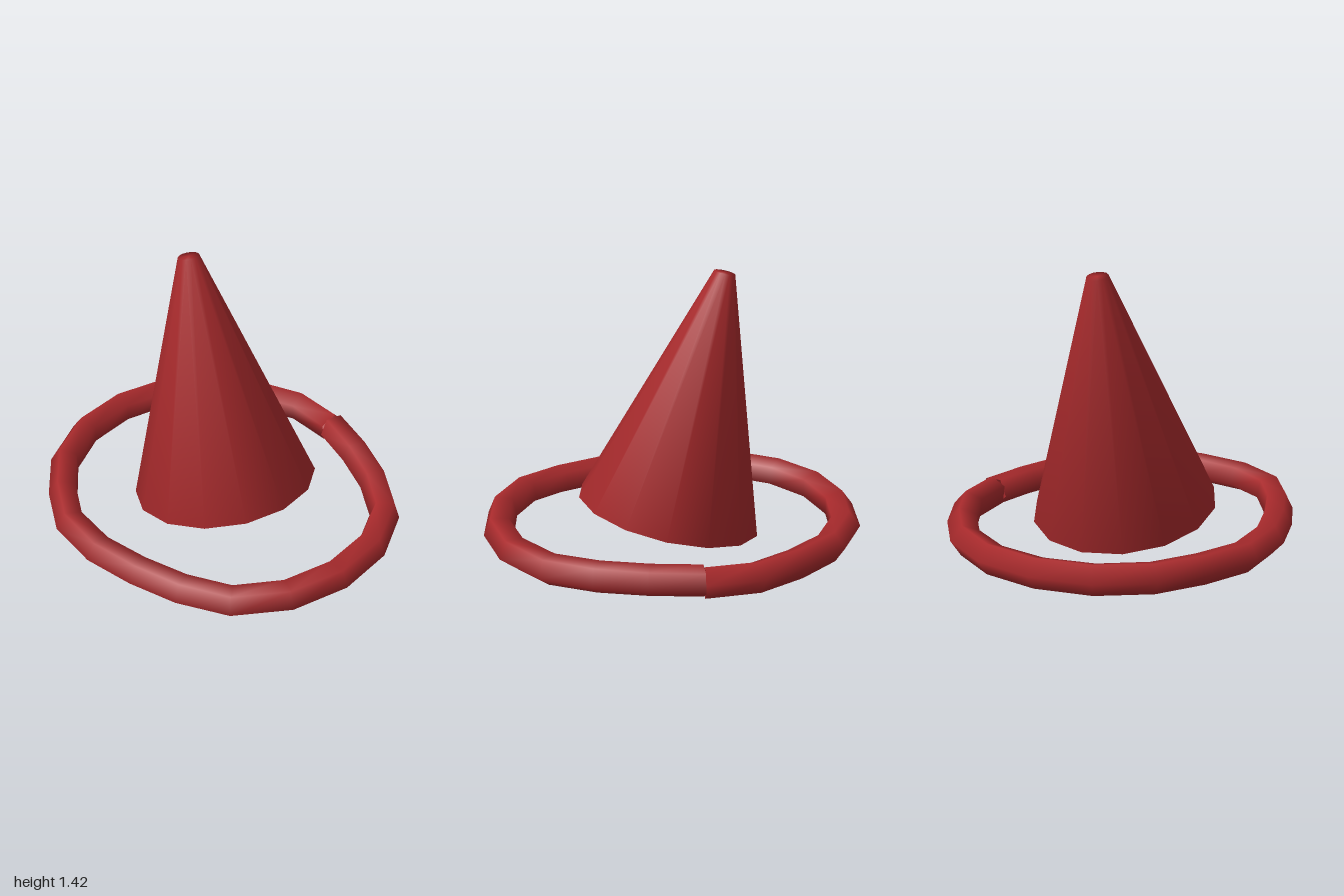
import * as THREE from 'three';
import { mergeVertices } from 'three/addons/utils/BufferGeometryUtils.js';

// Right half of the ring's centre line as [x, z], from back to front
const HALF = [
  [0, -0.92], [0.287, -0.87], [0.53, -0.72], [0.69, -0.505], [0.807, -0.27], [0.818, 0],
  [0.757, 0.257], [0.667, 0.5], [0.53, 0.72], [0.287, 0.867], [0, 0.915],
];

// Five-sided tube swept round the ring, slowly twisting so its ends meet in a small step
function ringGeometry(radius, sides) {
  const mirrored = HALF.slice(1, -1).reverse().map(([x, z]) => [-x, z]);
  const loop = [...HALF, ...mirrored];
  const n = loop.length;
  const at = (i) => loop[(i + 5 + n) % n]; // index 0 is the seam on the left side
  const pos = [], index = [];
  for (let i = 0; i <= n; i++) {
    const [x, z] = at(i), [px, pz] = at(i - 1), [nx, nz] = at(i + 1);
    const out = new THREE.Vector2(nz - pz, px - nx).normalize();
    const twist = THREE.MathUtils.degToRad(-22 + 30 * i / n);
    for (let j = 0; j < sides; j++) {
      const a = twist + j / sides * Math.PI * 2;
      const r = radius * Math.cos(a);
      pos.push(x + out.x * r, 0.083 + radius * Math.sin(a), z + out.y * r);
      if (i < n) {
        const k = (j + 1) % sides;
        const p = i * sides + j, q = i * sides + k;
        index.push(p, q, p + sides, q, q + sides, p + sides);
      }
    }
  }
  const g = new THREE.BufferGeometry();
  g.setAttribute('position', new THREE.Float32BufferAttribute(pos, 3));
  g.setIndex(index);
  g.computeVertexNormals();
  return g;
}

// Closed tapered cone with normals blended over its rims
function coneGeometry() {
  let g = new THREE.CylinderGeometry(0.056, 0.49, 1.31, 14);
  g.deleteAttribute('uv');
  g.deleteAttribute('normal');
  g = mergeVertices(g, 1e-4);
  g.computeVertexNormals();
  return g;
}

export function createModel() {
  const model = new THREE.Group();
  const red = new THREE.MeshStandardMaterial({ color: 0xa82a2c, side: THREE.DoubleSide });

  // Cone leaning backwards
  const cone = new THREE.Mesh(coneGeometry(), red);
  cone.name = 'cone';
  cone.position.set(0.01, 0.77, -0.13);
  cone.rotation.x = -0.224;
  model.add(cone);

  // Loose ring lying around the cone
  const ring = new THREE.Mesh(ringGeometry(0.083, 5), red);
  ring.name = 'brimRing';
  model.add(ring);

  return model;
}
